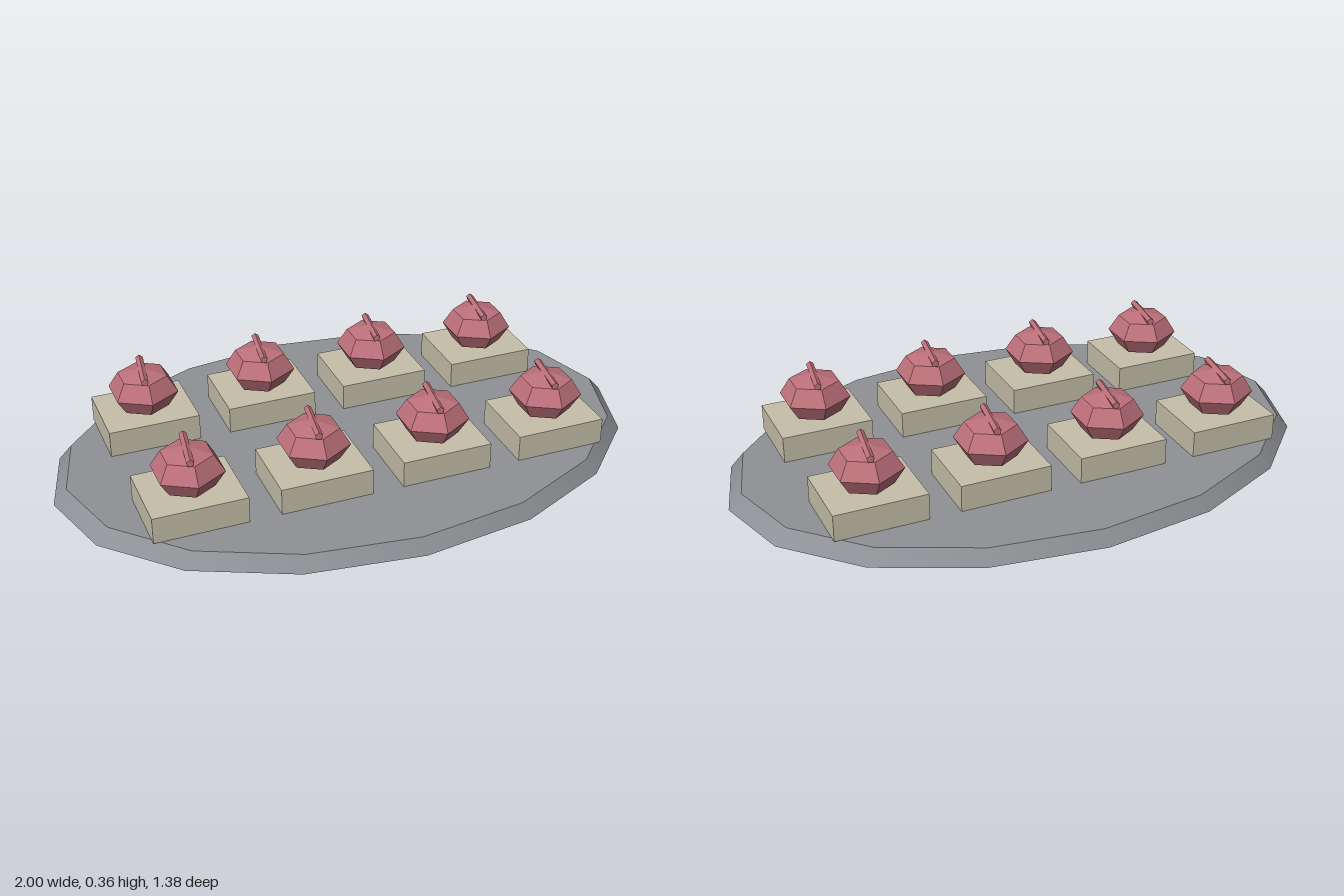
import * as THREE from 'three';

const material = (name, color, flatShading = false) => {
  const m = new THREE.MeshStandardMaterial({ color, flatShading });
  m.name = name;
  return m;
};

export function createModel() {
  const grey = material('plate grey', 0x8f9196);
  const beige = material('rice beige', 0xc5bfa9);
  const pink = material('topping pink', 0xbd707a, true);
  const root = new THREE.Group();
  root.name = 'servingPlatter';

  const add = (parent, name, geometry, mat, x = 0, y = 0, z = 0) => {
    const mesh = new THREE.Mesh(geometry, mat);
    mesh.name = name;
    mesh.position.set(x, y, z);
    parent.add(mesh);
    return mesh;
  };

  // Oval plate: flared underside, bevelled rim, flat top and base
  const sides = 16, yRim = 0.07, yTop = 0.12;
  const rBase = 0.755, rRim = 1, rTop = 0.955;
  const oval = (g) => g.scale(1, 1, 0.688);
  const plate = new THREE.Group();
  plate.name = 'plate';
  root.add(plate);
  add(plate, 'plateUnderside',
    oval(new THREE.CylinderGeometry(rRim, rBase, yRim, sides, 1, true)), grey, 0, yRim / 2);
  add(plate, 'plateRim',
    oval(new THREE.CylinderGeometry(rTop, rRim, yTop - yRim, sides, 1, true)), grey, 0, (yRim + yTop) / 2);
  add(plate, 'plateTop',
    oval(new THREE.CircleGeometry(rTop, sides).rotateX(-Math.PI / 2)), grey, 0, yTop);
  add(plate, 'plateBase',
    oval(new THREE.CircleGeometry(rBase, sides).rotateX(Math.PI / 2)), grey);

  // Shared shapes for each serving
  const blockGeo = new THREE.BoxGeometry(0.308, 0.09, 0.254);
  const bunGeo = new THREE.SphereGeometry(0.12, 6, 4).rotateY(Math.PI / 6).scale(1, 0.66, 1);
  const stripGeo = new THREE.CylinderGeometry(0.013, 0.013, 0.172, 5)
    .rotateX(-Math.PI / 2).rotateY(-0.15);

  // Two rows of four servings
  for (const z of [-0.26, 0.26]) {
    for (let i = 0; i < 4; i++) {
      const serving = new THREE.Group();
      serving.name = 'serving';
      serving.position.set((i - 1.5) * 0.413, yTop, z);
      root.add(serving);
      add(serving, 'block', blockGeo, beige, 0, 0.045);
      add(serving, 'bun', bunGeo, pink, 0, 0.159);
      add(serving, 'topStrip', stripGeo, pink, 0, 0.229);
    }
  }
  return root;
}
